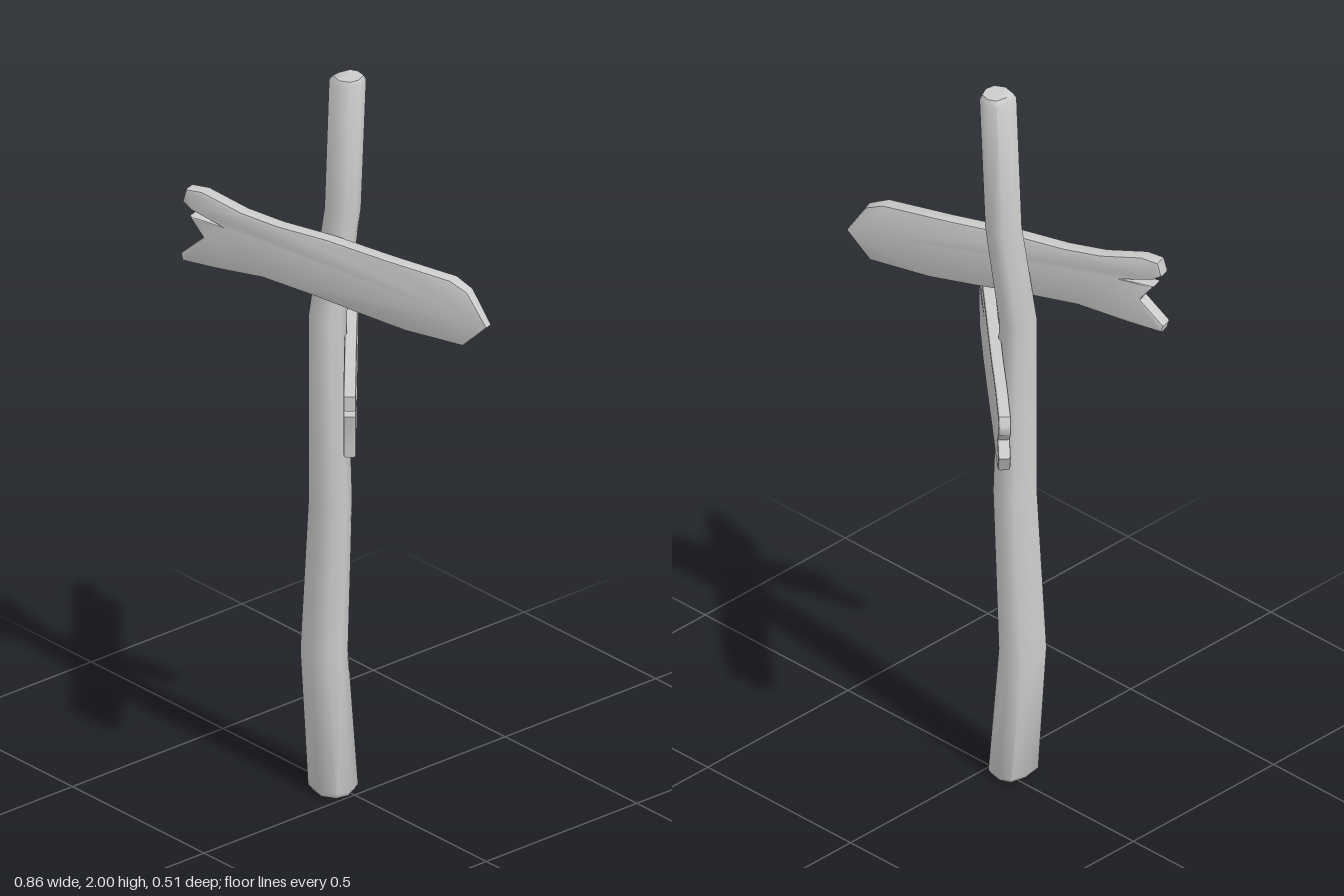
import * as THREE from 'three';
import { toCreasedNormals } from 'three/addons/utils/BufferGeometryUtils.js';

const material = new THREE.MeshStandardMaterial({ color: 0xcccccc });

// Crooked post lofted through irregular eight-sided rings
function createPost() {
  const section = [[-0.9, 0.8], [0.1, 1], [0.85, 0.6], [1, -0.1], [0.6, -0.85], [-0.2, -1], [-0.8, -0.75], [-1, 0.1]];
  // y, centre x, centre z, half width, half depth
  const rings = [
    [0, -0.054, 0.018, 0.046, 0.05],
    [0.012, -0.055, 0.018, 0.054, 0.058],
    [0.38, -0.082, 0.024, 0.053, 0.054],
    [0.82, -0.035, 0.045, 0.048, 0.05],
    [1.33, -0.053, 0.039, 0.041, 0.044],
    [1.62, -0.04, 0, 0.041, 0.041],
    [1.988, -0.015, 0.006, 0.04, 0.043],
    [2, -0.014, 0.006, 0.033, 0.036],
  ];
  const n = section.length;
  const positions = [];
  const index = [];
  for (const [y, cx, cz, w, d] of rings) {
    for (const [x, z] of section) positions.push(cx + x * w, y, cz + z * d);
  }
  const last = (rings.length - 1) * n;
  const bottom = positions.length / 3;
  for (const [y, cx, cz] of [rings[0], rings[rings.length - 1]]) positions.push(cx, y, cz);
  for (let i = 0; i < n; i++) {
    const j = (i + 1) % n;
    for (let r = 0; r < last; r += n) {
      index.push(r + i, r + j, r + n + j, r + i, r + n + j, r + n + i);
    }
    index.push(bottom, j, i, bottom + 1, last + i, last + j);
  }
  const geometry = new THREE.BufferGeometry();
  geometry.setAttribute('position', new THREE.Float32BufferAttribute(positions, 3));
  geometry.setIndex(index);
  const post = new THREE.Mesh(toCreasedNormals(geometry, 1), material);
  post.name = 'post';
  return post;
}

// Plank cut from an outline as seen from the front, then turned about the post
function createBoard(name, outline, { angle, x, z, thickness, taperFrom = Infinity }) {
  const bevel = 0.006;
  const stretch = 1 / Math.cos(angle);
  const shape = new THREE.Shape(outline.map(([px, py]) => new THREE.Vector2((px - x) * stretch, py)));
  const geometry = new THREE.ExtrudeGeometry(shape, {
    depth: thickness - 2 * bevel,
    bevelThickness: bevel,
    bevelSize: bevel,
    bevelOffset: -bevel,
    bevelSegments: 2,
  });
  geometry.translate(0, 0, bevel - thickness / 2);
  // Thin the plank towards its pointed tip
  const p = geometry.attributes.position;
  for (let i = 0; i < p.count; i++) {
    const t = THREE.MathUtils.clamp((p.getX(i) - taperFrom) / 0.1, 0, 1);
    p.setZ(i, p.getZ(i) * (1 - 0.35 * t));
  }
  const board = new THREE.Mesh(toCreasedNormals(geometry, 0.7), material);
  board.name = name;
  board.position.set(x, 0, z);
  board.rotation.y = angle;
  return board;
}

export function createModel() {
  const group = new THREE.Group();
  group.name = 'signpost';
  group.add(createPost());

  // Pointed board in front of the post, split at its tail
  group.add(createBoard('upperBoard', [
    [-0.425, 1.4], [-0.33, 1.403], [-0.2, 1.413], [-0.045, 1.4], [0.08, 1.385], [0.2, 1.373], [0.36, 1.373],
    [0.425, 1.44], [0.372, 1.525], [0.325, 1.547], [0.15, 1.555], [-0.02, 1.567], [-0.16, 1.568],
    [-0.26, 1.578], [-0.37, 1.606], [-0.415, 1.602], [-0.425, 1.565], [-0.4, 1.547],
    [-0.315, 1.525], [-0.405, 1.53], [-0.367, 1.48], [-0.43, 1.42],
  ], { angle: 0.3, x: 0, z: 0.057, thickness: 0.038, taperFrom: 0.34 }));

  // Broken board behind the post
  group.add(createBoard('lowerBoard', [
    [-0.27, 1.102], [-0.1, 1.093], [0.03, 1.086], [0.14, 1.085], [0.24, 1.103], [0.243, 1.16], [0.255, 1.225],
    [0.095, 1.234], [0.255, 1.241], [0.255, 1.281], [0.09, 1.284], [-0.08, 1.275], [-0.2, 1.285],
    [-0.288, 1.275], [-0.298, 1.25], [-0.296, 1.228], [-0.262, 1.185], [-0.287, 1.15],
  ], { angle: -0.727, x: -0.02, z: -0.005, thickness: 0.032 }));

  return group;
}
